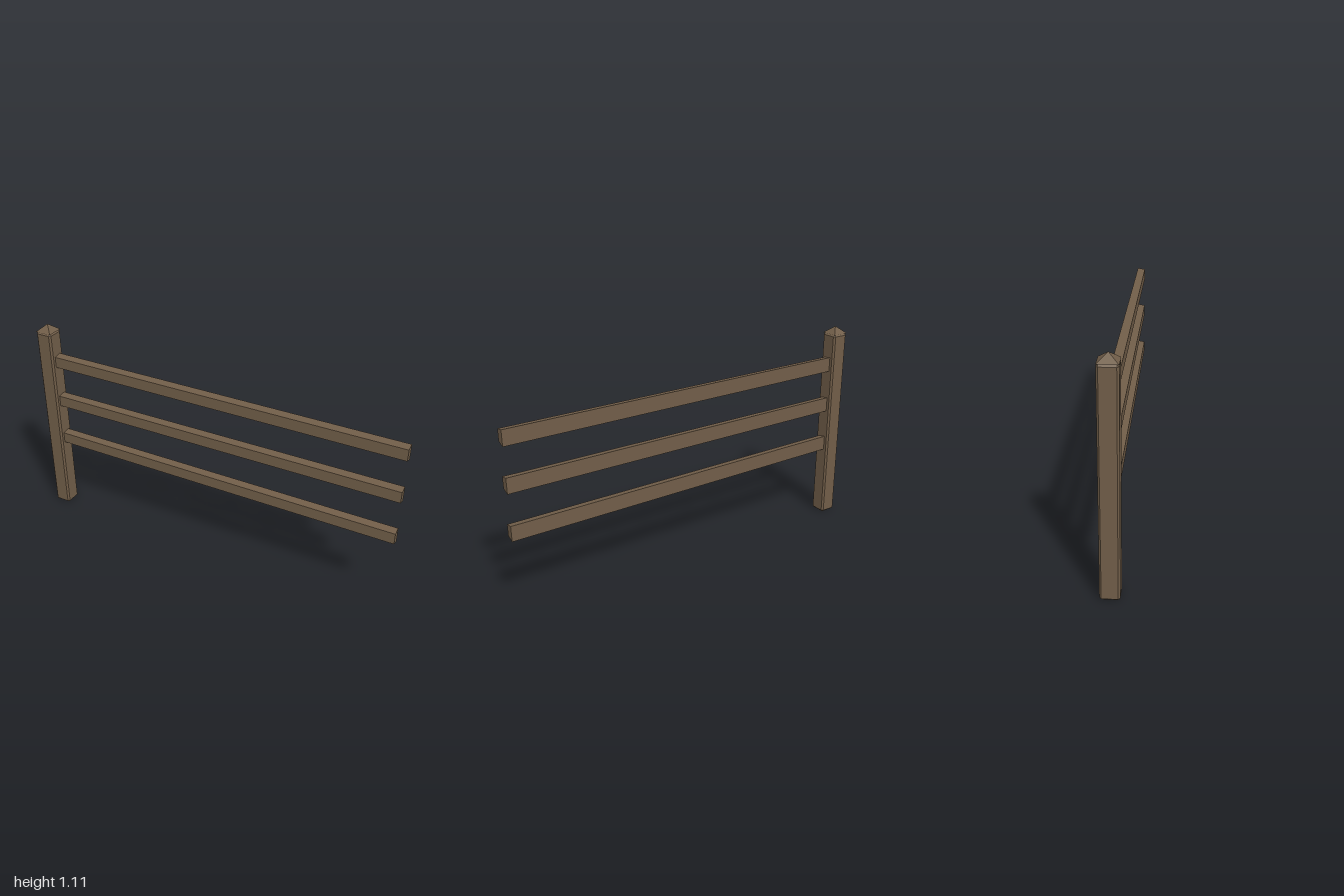
import * as THREE from 'three';
import { ConvexGeometry } from 'three/addons/geometries/ConvexGeometry.js';

const wood = new THREE.MeshStandardMaterial({ color: 0x705d48 });
wood.name = 'brownWood';

const POST_X = -0.955;
const HALF = 0.045;

// Box with every edge chamfered, standing on y = 0
function chamferedBox(halfWidth, height, chamfer) {
  const points = [];
  const h = height / 2;
  for (const sx of [-1, 1]) for (const sy of [-1, 1]) for (const sz of [-1, 1]) {
    for (let axis = 0; axis < 3; axis++) {
      const inset = [chamfer, chamfer, chamfer];
      inset[axis] = 0;
      points.push(new THREE.Vector3(
        sx * (halfWidth - inset[0]),
        h + sy * (h - inset[1]),
        sz * (halfWidth - inset[2])
      ));
    }
  }
  return new ConvexGeometry(points);
}

// Rail with a tapered section, taller at the back, sagging slightly along its length
function railGeometry(y, sag) {
  const section = [[0.022, 0.03], [-0.02, 0.037], [-0.02, -0.042], [0.022, -0.029]];
  const points = [];
  for (const [x, dy] of [[POST_X + 0.02, sag], [1, 0]]) {
    for (const [z, sy] of section) points.push(new THREE.Vector3(x, y + dy + sy, z));
  }
  return new ConvexGeometry(points);
}

export function createModel() {
  const fence = new THREE.Group();
  fence.name = 'fenceSection';
  const add = (name, geometry) => {
    const mesh = new THREE.Mesh(geometry, wood);
    mesh.name = name;
    fence.add(mesh);
    return mesh;
  };

  // Square post
  add('post', chamferedBox(HALF, 1.069, 0.009)).position.x = POST_X;

  // Pyramid cap
  const cap = new THREE.ConeGeometry(HALF * Math.SQRT2, 0.037, 4).rotateY(Math.PI / 4).toNonIndexed();
  cap.computeVertexNormals();
  add('postCap', cap).position.set(POST_X, 1.0885, 0);

  // Three rails
  add('lowerRail', railGeometry(0.433, 0.005));
  add('middleRail', railGeometry(0.671, 0));
  add('upperRail', railGeometry(0.898, 0.006));

  return fence;
}
